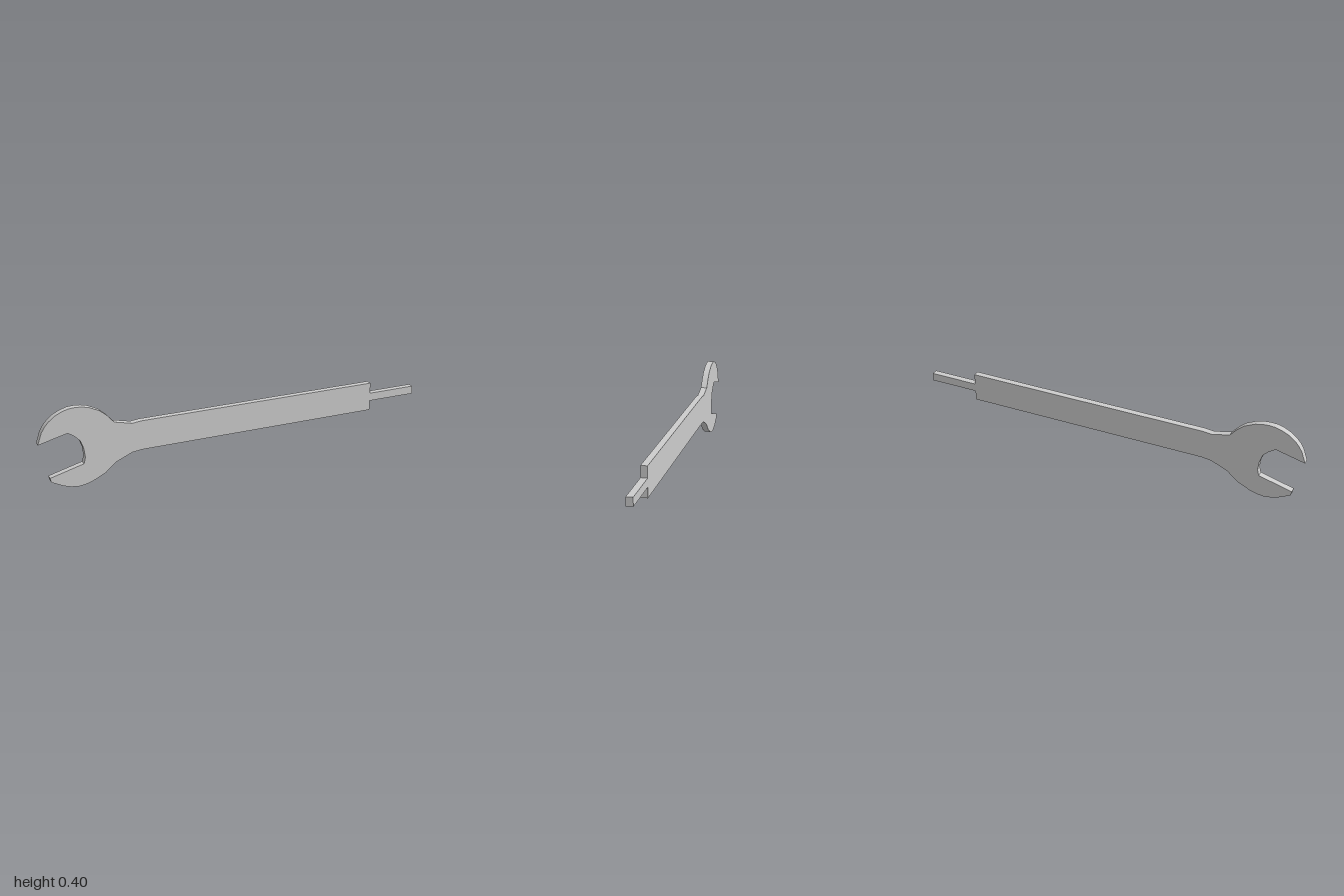
import * as THREE from 'three';
import { toCreasedNormals } from 'three/addons/utils/BufferGeometryUtils.js';

const THICKNESS = 0.032;

// Outline sections, running counter-clockwise
const throat = [[-1, 0.24], [-0.857, 0.275], [-0.825, 0.253], [-0.8, 0.228], [-0.785, 0.185],
  [-0.78, 0.14], [-0.788, 0.11], [-0.953, 0.067]];
const lowerJaw = [[-0.948, 0.045], [-0.89, 0.016], [-0.855, 0.005], [-0.82, 0], [-0.785, 0.004],
  [-0.75, 0.014], [-0.685, 0.045], [-0.632, 0.09]];
const lowerNeck = [[-0.55, 0.125], [-0.5, 0.131]];
const handleAndTang = [[0.745, 0.131], [0.745, 0.181], [1, 0.181], [1, 0.222], [0.745, 0.222], [0.745, 0.277]];
const upperNeck = [[-0.5, 0.277], [-0.545, 0.272], [-0.633, 0.293]];
const upperJaw = [[-0.665, 0.33], [-0.7, 0.36], [-0.75, 0.384], [-0.782, 0.392], [-0.815, 0.395],
  [-0.848, 0.393], [-0.88, 0.384], [-0.914, 0.368], [-0.945, 0.344], [-0.965, 0.321], [-0.98, 0.297]];

export function createModel() {
  const group = new THREE.Group();
  group.name = 'openEndWrench';

  // Flat plate: open jaw, neck, handle and narrow tang
  const outline = [...throat, ...lowerJaw, ...lowerNeck, ...handleAndTang, ...upperNeck, ...upperJaw];
  const shape = new THREE.Shape(outline.map(([x, y]) => new THREE.Vector2(x, y)));
  const plate = new THREE.ExtrudeGeometry(shape, { depth: THICKNESS, bevelEnabled: false });
  plate.translate(0, 0, -THICKNESS / 2);

  const wrench = new THREE.Mesh(
    toCreasedNormals(plate, 0.5),
    new THREE.MeshStandardMaterial({ color: 0xcccccc })
  );
  wrench.name = 'wrenchBody';
  group.add(wrench);
  return group;
}
